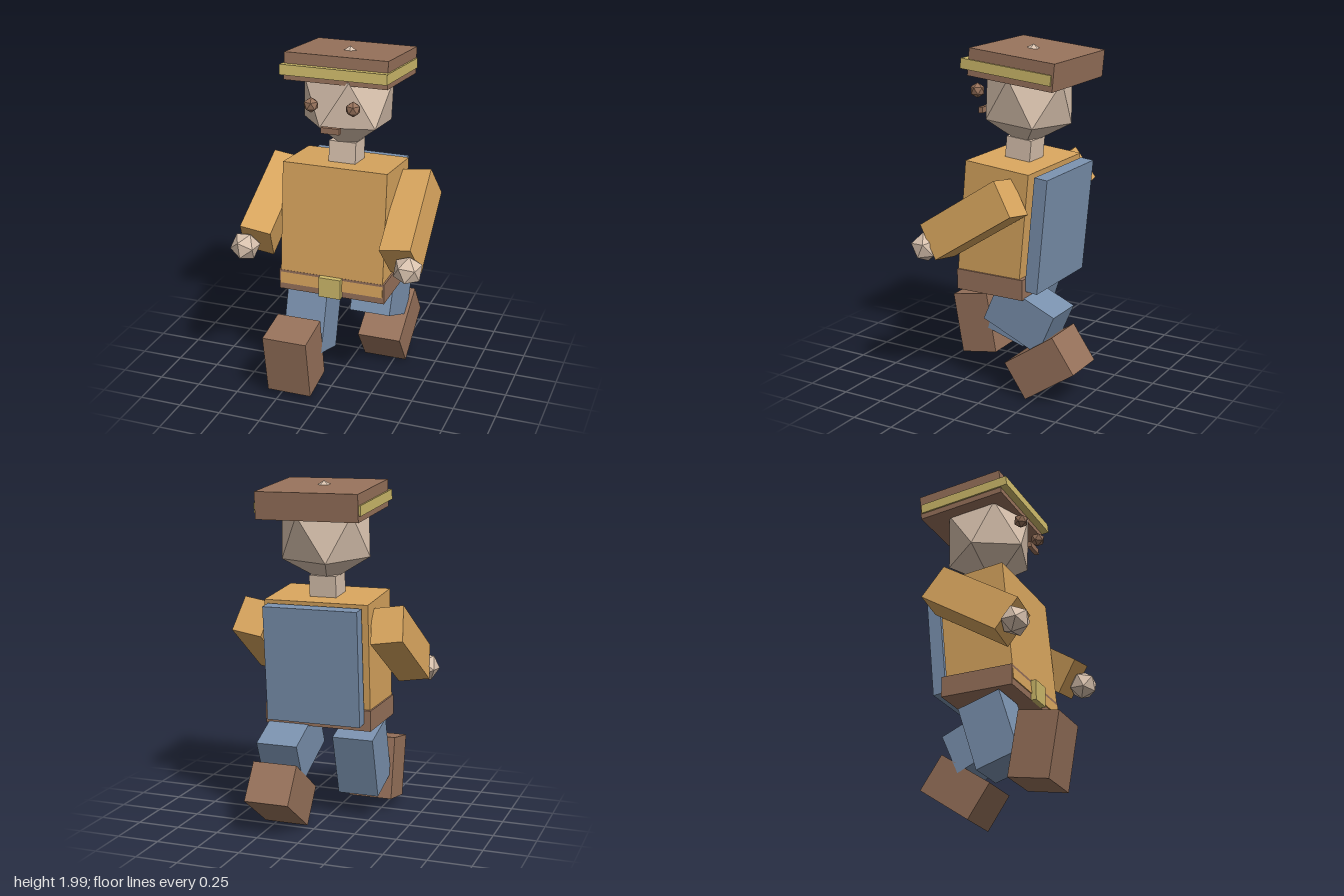
import * as THREE from 'three';

const makeMaterial = (name, color) => {
  const m = new THREE.MeshStandardMaterial({ color });
  m.name = name;
  return m;
};

export function createModel() {
  const model = new THREE.Group();
  model.name = 'blockyWalker';

  const orange = makeMaterial('orangeShirt', 0xd8a55e);
  const brown = makeMaterial('brownLeather', 0x97725b);
  const blue = makeMaterial('blueCloth', 0x7a91ae);
  const yellow = makeMaterial('yellowTrim', 0xcfbb6b);
  const skin = makeMaterial('skin', 0xdac3af);

  // Adds a mesh; rotation is pitch first, then yaw, then roll
  const add = (name, geometry, material, pos, rot = [0, 0, 0]) => {
    const mesh = new THREE.Mesh(geometry, material);
    mesh.name = name;
    mesh.position.set(...pos);
    mesh.rotation.set(...rot, 'ZYX');
    model.add(mesh);
    return mesh;
  };
  const box = (name, material, size, pos, rot) =>
    add(name, new THREE.BoxGeometry(...size), material, pos, rot);

  // Icosahedron turned so that one corner points straight up
  const ball = (name, material, radius, pos, rot) => {
    const g = new THREE.IcosahedronGeometry(radius, 0);
    g.rotateZ(-Math.atan(2 / (1 + Math.sqrt(5))));
    return add(name, g, material, pos, rot);
  };

  // Upper body leans back slightly
  const lean = [-0.092, 0, 0];
  box('torso', orange, [0.62, 0.73, 0.404], [0, 0.984, 0.017], lean);
  box('backPanel', blue, [0.56, 0.67, 0.08], [0, 0.974, -0.248], lean);
  box('neck', skin, [0.16, 0.16, 0.16], [0, 1.39, -0.02], lean);

  // Belt
  box('belt', brown, [0.64, 0.12, 0.431], [0, 0.66, 0.03]);
  box('beltBuckle', yellow, [0.132, 0.12, 0.04], [0, 0.66, 0.257]);

  // Head and face
  ball('head', skin, 0.294, [0, 1.706, -0.05], lean).scale.z = 0.96;
  box('mouth', brown, [0.11, 0.034, 0.025], [0, 1.602, 0.242]);

  // Hat with band; the crown of the head just pokes through the top
  box('hat', brown, [0.6, 0.155, 0.532], [0, 1.896, -0.098], lean);
  box('hatBand', yellow, [0.62, 0.058, 0.565], [0, 1.884, -0.07], lean);

  // Eyes, arms and hands, mirrored
  for (const s of [1, -1]) {
    const side = s > 0 ? 'left' : 'right';
    const swing = [-0.99, -0.045 * s, 0.15 * s];
    ball(side + 'Eye', brown, 0.044, [0.122 * s, 1.73, 0.219]);
    box(side + 'Arm', orange, [0.185, 0.56, 0.22], [0.418 * s, 1.063, 0.07], swing);
    ball(side + 'Hand', skin, 0.087, [0.487 * s, 0.883, 0.345], swing);
  }

  // Legs in mid-stride: right one forward, left one back
  const thigh = [0.245, 0.385, 0.258];
  const boot = [0.265, 0.374, 0.24];
  box('leftThigh', blue, thigh, [0.178, 0.483, -0.148], [1.16, 0, 0]);
  box('leftBoot', brown, boot, [0.188, 0.21, -0.291], [-0.965, 0, 0]);
  box('rightThigh', blue, thigh, [-0.178, 0.372, 0.09], [-0.297, 0, 0]);
  box('rightBoot', brown, boot, [-0.188, 0.239, 0.366], [0.175, 0, 0]);

  return model;
}
